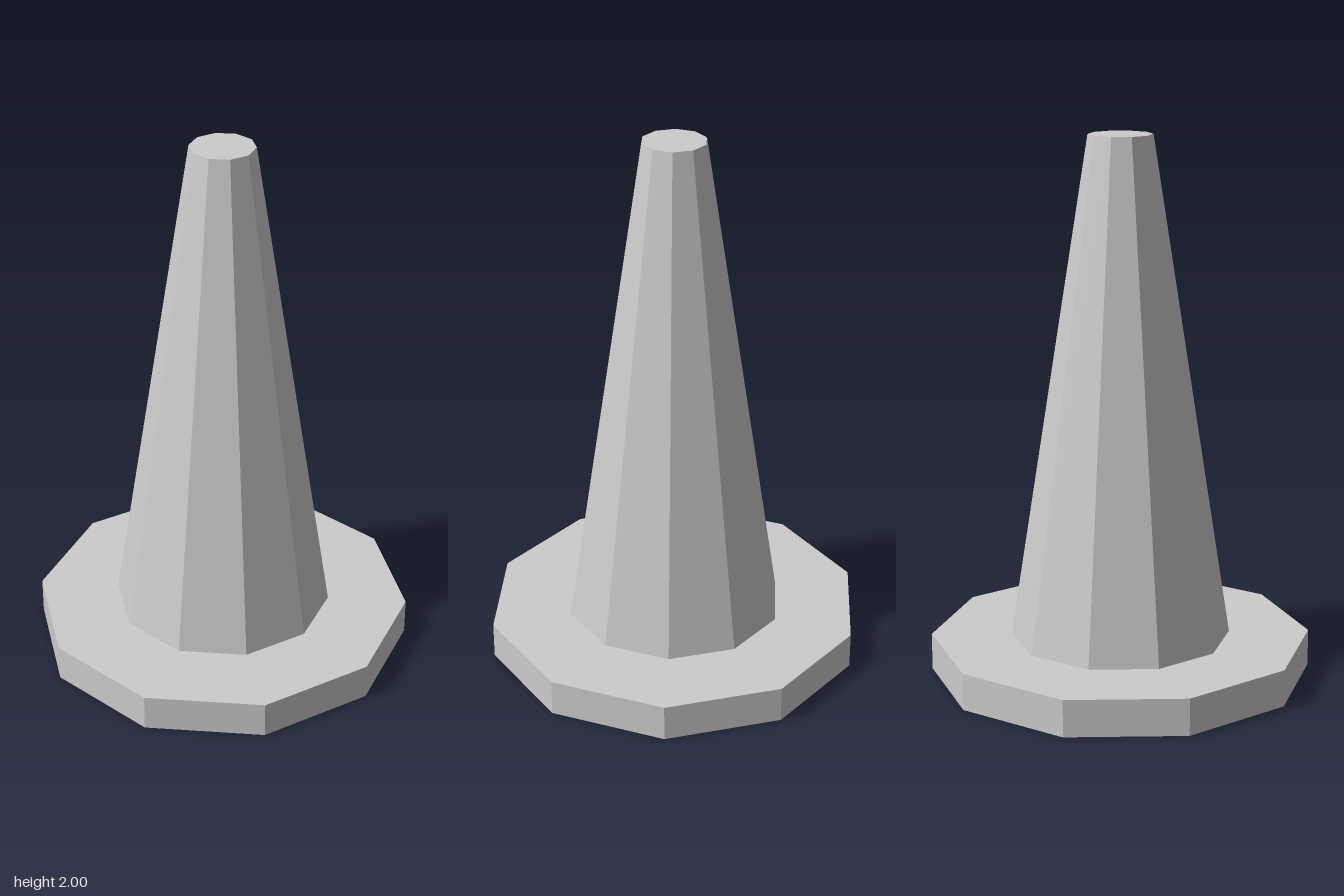
import * as THREE from 'three';

const SIDES = 10;

// Ten-sided frustum with corners on the x axis, standing between y0 and y1
function frustum(name, rTop, rBottom, y0, y1, material) {
  const geometry = new THREE.CylinderGeometry(rTop, rBottom, y1 - y0, SIDES, 1, false, Math.PI / 2);
  geometry.translate(0, (y0 + y1) / 2, 0);
  const mesh = new THREE.Mesh(geometry, material);
  mesh.name = name;
  return mesh;
}

export function createModel() {
  const group = new THREE.Group();
  group.name = 'trafficCone';
  const material = new THREE.MeshStandardMaterial({ color: 0xcccccc, flatShading: true });

  // Flat foot plate and the tapered body on it
  group.add(frustum('basePlate', 0.707, 0.707, 0, 0.137, material));
  group.add(frustum('coneBody', 0.117, 0.408, 0.137, 2, material));
  return group;
}
